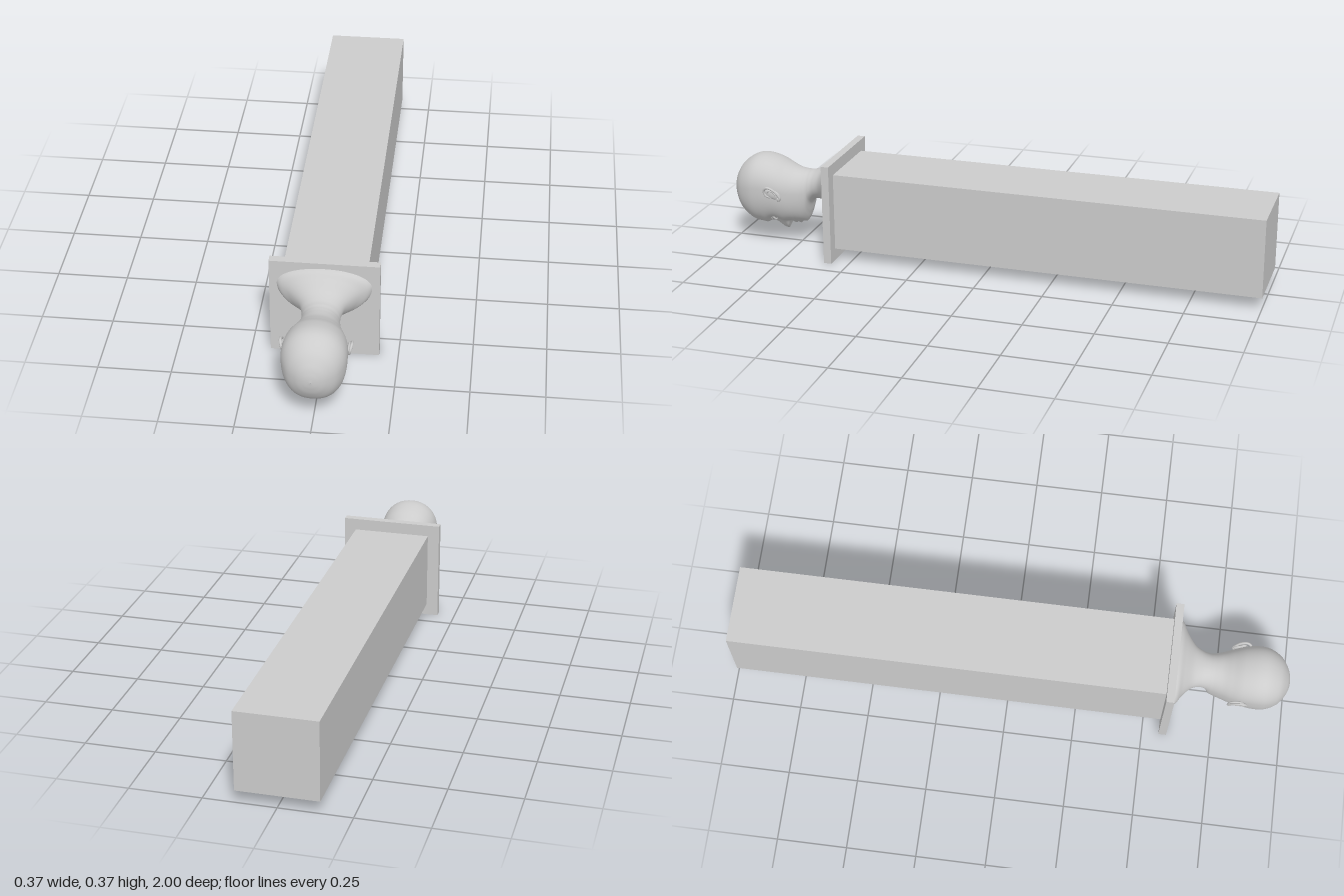
import * as THREE from 'three';

const material = new THREE.MeshStandardMaterial({ color: 0xcccccc, roughness: 0.8 });

function add(parent, name, geometry, x = 0, y = 0, z = 0) {
  const mesh = new THREE.Mesh(geometry, material);
  mesh.name = name;
  mesh.position.set(x, y, z);
  parent.add(mesh);
  return mesh;
}

// Sections from the shoulders to the crown: z, face side y, back y, half width, y of widest point
const SECTIONS = [
  [0.588, 0.165, 0.35, 0.161, 0.282],
  [0.602, 0.166, 0.344, 0.147, 0.276],
  [0.62, 0.17, 0.328, 0.115, 0.265],
  [0.65, 0.18, 0.303, 0.08, 0.25],
  [0.68, 0.18, 0.29, 0.066, 0.235],
  [0.7, 0.163, 0.287, 0.064, 0.222],
  [0.708, 0.125, 0.286, 0.065, 0.215],
  [0.716, 0.099, 0.286, 0.067, 0.21],
  [0.732, 0.087, 0.287, 0.071, 0.206],
  [0.76, 0.085, 0.292, 0.08, 0.207],
  [0.79, 0.085, 0.304, 0.091, 0.212],
  [0.83, 0.084, 0.322, 0.102, 0.222],
  [0.88, 0.073, 0.333, 0.107, 0.228],
  [0.92, 0.079, 0.327, 0.103, 0.222],
  [0.96, 0.109, 0.3, 0.083, 0.212],
  [0.985, 0.146, 0.264, 0.052, 0.206],
  [0.996, 0.177, 0.234, 0.026, 0.205],
  [1.0, 0.203, 0.207, 0.001, 0.205],
];

const bell = (v, centre, width) => Math.exp(-(((v - centre) / width) ** 2));
const step = THREE.MathUtils.smoothstep;

// Relief of the face, measured outwards (towards -y)
function faceRelief(x, z) {
  const ax = Math.abs(x);
  const noseRise = 1 - step(z, 0.805, 0.872);
  const noseEnd = step(z, 0.784, 0.801);
  const noseWidth = 0.011 + 0.008 * noseRise;
  let r = 0.038 * noseRise * noseEnd * bell(x, 0, noseWidth);
  r += 0.009 * bell(ax, 0.018, 0.008) * bell(z, 0.797, 0.01);    // nostril wings
  r += 0.013 * bell(z, 0.768, 0.008) * bell(x, 0, 0.027);        // upper lip
  r += 0.012 * bell(z, 0.75, 0.008) * bell(x, 0, 0.023);         // lower lip
  r -= 0.004 * bell(z, 0.759, 0.003) * bell(x, 0, 0.03);         // mouth line
  r += 0.006 * bell(z, 0.725, 0.011) * bell(x, 0, 0.025);        // chin
  r -= 0.014 * bell(z, 0.842, 0.017) * bell(ax, 0.04, 0.022);    // eye sockets
  r += 0.005 * bell(z, 0.87, 0.011) * bell(ax, 0.04, 0.03);      // brows
  r += 0.004 * bell(z, 0.805, 0.02) * bell(ax, 0.055, 0.02);     // cheekbones
  return r;
}

// Smooth skin lofted through the sections
function bustGeometry() {
  const around = 160, along = 170;
  const profile = new THREE.CatmullRomCurve3(
    SECTIONS.map(([z, front, back]) => new THREE.Vector3(z, front, back)), false, 'catmullrom', 0.5);
  const widths = new THREE.CatmullRomCurve3(
    SECTIONS.map(([z, , , w, mid]) => new THREE.Vector3(z, w, mid)), false, 'catmullrom', 0.5);
  const positions = [], index = [];
  for (let i = 0; i <= along; i++) {
    const { x: z, y: front, z: back } = profile.getPoint(i / along);
    const { y: w, z: mid } = widths.getPoint(i / along);
    const faceFade = step(z, 0.708, 0.722);
    const bluntness = 1.05 - 0.18 * step(z, 0.66, 0.8);
    for (let j = 0; j < around; j++) {
      const a = (j / around) * Math.PI * 2;
      const c = Math.cos(a), s = Math.sin(a);
      const power = s < 0 ? bluntness : 0.95;
      const x = w * Math.sign(c) * Math.abs(c) ** power;
      let y = mid + (s < 0 ? mid - front : back - mid) * Math.sign(s) * Math.abs(s) ** power;
      if (s < 0) y -= faceRelief(x, z) * faceFade * step(-s, 0.2, 0.7);
      positions.push(x, y, z);
      if (i < along) {
        const k = (j + 1) % around;
        const p = i * around + j, q = i * around + k;
        index.push(p, q, p + around, q, q + around, p + around);
      }
    }
  }
  const geometry = new THREE.BufferGeometry();
  geometry.setAttribute('position', new THREE.Float32BufferAttribute(positions, 3));
  geometry.setIndex(index);
  geometry.computeVertexNormals();
  return geometry;
}

// Ear in its own plane: local x along the head's z, local y along the head's y
function makeEar(side) {
  const ear = new THREE.Group();
  ear.name = side > 0 ? 'leftEar' : 'rightEar';
  const tube = (points, radius) => new THREE.TubeGeometry(
    new THREE.CatmullRomCurve3(points.map(([z, y, x]) => new THREE.Vector3(side * x, y, z))), 40, radius, 8);
  const rim = [[0.004, -0.016, 0], [0.024, -0.014, 0.003], [0.035, 0.002, 0.007], [0.027, 0.019, 0.011],
    [0.004, 0.02, 0.011], [-0.018, 0.009, 0.007], [-0.032, -0.006, 0.003], [-0.025, -0.016, 0]];
  add(ear, 'earRim', tube(rim, 0.0045));
  const fold = [[0.022, -0.002, 0.003], [0.016, 0.009, 0.006], [0, 0.01, 0.006], [-0.014, 0, 0.004]];
  add(ear, 'earFold', tube(fold, 0.0035));
  add(ear, 'earBowl', new THREE.SphereGeometry(1, 24, 16), side * 0.001).scale.set(0.006, 0.017, 0.031);
  add(ear, 'earLobe', new THREE.SphereGeometry(1, 16, 12), side * 0.002, -0.009, -0.027).scale.set(0.005, 0.008, 0.009);
  ear.position.set(side * 0.105, 0.213, 0.817);
  ear.rotation.x = -0.3;
  return ear;
}

// Eyeball with a rounded lid above and below
function makeEye(side) {
  const eye = new THREE.Group();
  eye.name = side > 0 ? 'leftEye' : 'rightEye';
  add(eye, 'eyeball', new THREE.SphereGeometry(0.015, 24, 16));
  for (const edge of [1, -1]) {
    const curve = new THREE.CatmullRomCurve3([[-0.017, -0.006, 0], [-0.009, -0.013, 0.007],
      [0, -0.0155, 0.009], [0.009, -0.013, 0.007], [0.017, -0.006, 0]]
      .map(([x, y, z]) => new THREE.Vector3(x, y, z * edge)));
    add(eye, edge > 0 ? 'upperLid' : 'lowerLid', new THREE.TubeGeometry(curve, 20, 0.0026, 6));
  }
  eye.position.set(side * 0.04, 0.107, 0.842);
  eye.rotation.z = side * 0.3;
  return eye;
}

export function createModel() {
  const model = new THREE.Group();
  model.name = 'bustOnPillar';

  // Long square pillar and the slab that caps it
  add(model, 'pillar', new THREE.BoxGeometry(0.284, 0.284, 1.562), 0, 0.185, -0.219);
  add(model, 'capSlab', new THREE.BoxGeometry(0.37, 0.37, 0.028), 0, 0.185, 0.576);

  // Bust facing down, crown towards the front
  const bust = new THREE.Group();
  bust.name = 'bust';
  add(bust, 'headAndNeck', bustGeometry());
  for (const side of [1, -1]) bust.add(makeEar(side), makeEye(side));
  model.add(bust);
  return model;
}
